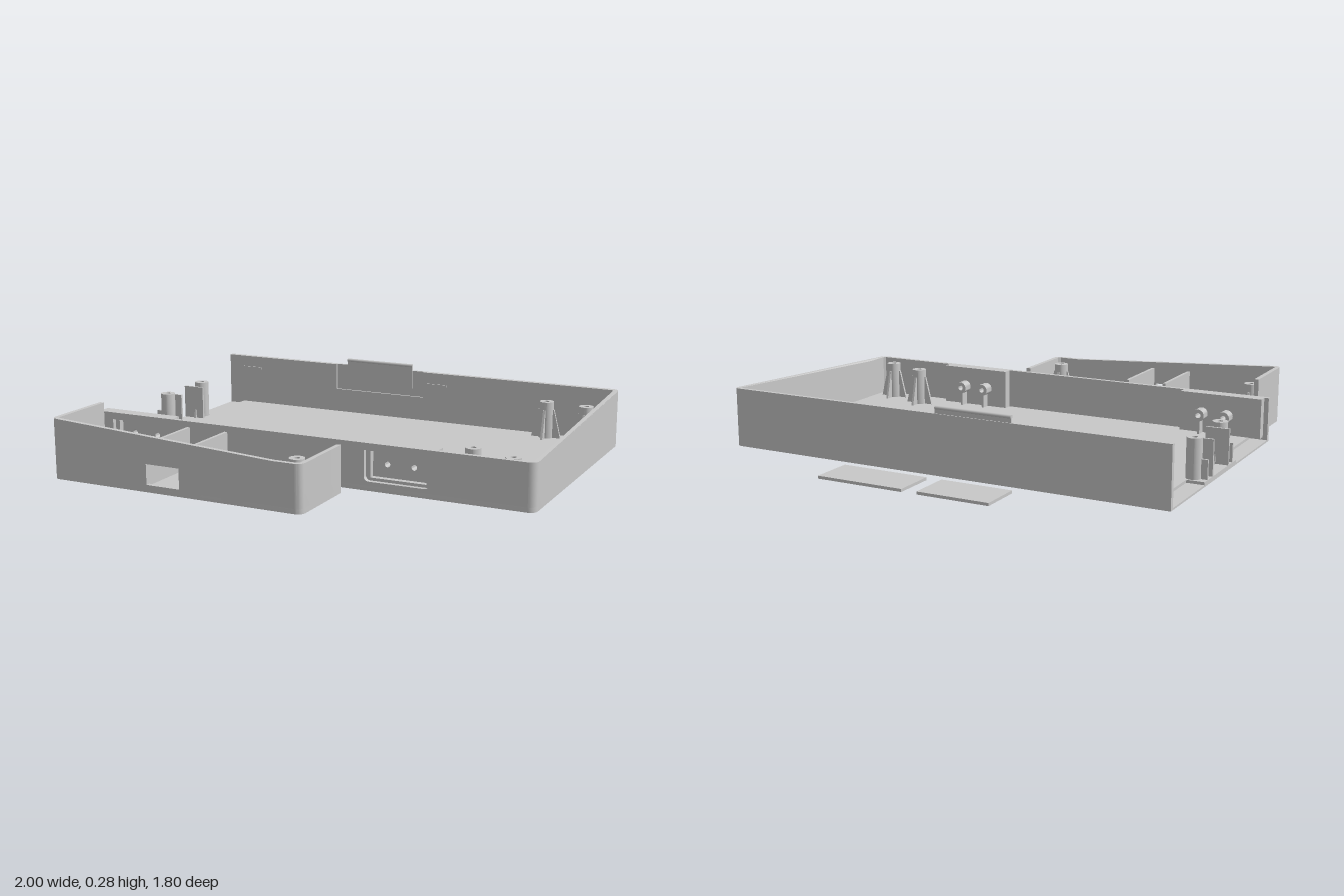
import * as THREE from 'three';
import { toCreasedNormals } from 'three/addons/utils/BufferGeometryUtils.js';

const plastic = new THREE.MeshStandardMaterial({ color: 0xc8c8c8 });
plastic.name = 'light grey plastic';

const T = 0.02;     // wall and floor thickness
const LOW = 0.195;  // lowest wall height
const RISE = 0.058; // extra height at the tall side

function add(group, geometry, name, x = 0, y = 0, z = 0) {
  const mesh = new THREE.Mesh(geometry, plastic);
  mesh.name = name;
  mesh.position.set(x, y, z);
  group.add(mesh);
  return mesh;
}

// Box given by its limits
function box(group, name, x0, x1, y0, y1, z0, z1) {
  return add(group, new THREE.BoxGeometry(x1 - x0, y1 - y0, z1 - z0), name,
    (x0 + x1) / 2, (y0 + y1) / 2, (z0 + z1) / 2);
}

// Arc points around (cx, cy), from angle a to b in quarter turns
function arc(cx, cy, r, a, b, n = 6) {
  return Array.from({ length: n + 1 }, (_, i) => {
    const t = (a + (b - a) * i / n) * Math.PI / 2;
    return [cx + r * Math.cos(t), cy + r * Math.sin(t)];
  });
}

// Upright prism over an x,z outline; its top follows height(x, z)
function prism(outline, height) {
  const shape = new THREE.Shape(outline.map(([x, z]) => new THREE.Vector2(x, -z)));
  const g = new THREE.ExtrudeGeometry(shape, { depth: 1, bevelEnabled: false });
  g.rotateX(-Math.PI / 2);
  const p = g.attributes.position;
  for (let i = 0; i < p.count; i++) {
    p.setY(i, p.getY(i) > 0.5 ? height(p.getX(i), p.getZ(i)) : 0);
  }
  return toCreasedNormals(g, 0.5);
}

const rect = (x0, x1, y0, y1) => [[x0, y0], [x1, y0], [x1, y1], [x0, y1]];
const pathHole = points => new THREE.Path(points.map(p => new THREE.Vector2(...p)));

function roundHole(x, y, r) {
  return new THREE.Path().absarc(x, y, r, 0, Math.PI * 2, true);
}

// Panel standing in the x,y plane, with holes
function panel(group, name, points, holes, z0, z1) {
  const shape = new THREE.Shape(points.map(p => new THREE.Vector2(...p)));
  shape.holes.push(...holes);
  const g = new THREE.ExtrudeGeometry(shape, { depth: z1 - z0, bevelEnabled: false, curveSegments: 12 });
  return add(group, toCreasedNormals(g, 0.6), name, 0, 0, z0);
}

// Hollow screw post with tapered ribs in the given directions (quarter turns)
function screwPost(parent, x, z, ribs = [0, 1, 2, 3]) {
  const post = new THREE.Group();
  post.name = 'screwPost';
  post.position.set(x, T, z);
  const h = 0.165, r = 0.032, hole = 0.012;
  const profile = [[r, 0], [r, h], [hole, h], [hole, 0.03]].map(p => new THREE.Vector2(...p));
  add(post, toCreasedNormals(new THREE.LatheGeometry(profile, 20), 0.6), 'postSleeve');
  add(post, new THREE.CylinderGeometry(hole, hole, 0.03, 12), 'postHoleFloor', 0, 0.015, 0);
  const rib = new THREE.Shape([[0.022, 0], [0.068, 0], [0.036, 0.13], [0.022, 0.13]].map(p => new THREE.Vector2(...p)));
  for (const q of ribs) {
    const g = new THREE.ExtrudeGeometry(rib, { depth: 0.01, bevelEnabled: false });
    g.translate(0, 0, -0.005);
    add(post, g, 'postRib').rotation.y = q * Math.PI / 2;
  }
  parent.add(post);
}

// Recessed mount behind the front wall, with two hollow pegs
function frontMount(parent, cx, x0, x1) {
  const mount = new THREE.Group();
  mount.name = 'frontMount';
  const pegs = [cx - 0.0575, cx + 0.0575];
  panel(mount, 'mountFrame', rect(x0, x1, T, LOW),
    [pathHole(rect(cx - 0.12, cx + 0.12, 0.05, 0.176))], 0.455, 0.48);
  panel(mount, 'mountPlate', rect(x0, x1, T, LOW), pegs.map(x => roundHole(x, 0.105, 0.012)), 0.44, 0.455);
  const sleeve = new THREE.Shape().absarc(0, 0, 0.027, 0, Math.PI * 2);
  sleeve.holes.push(roundHole(0, 0, 0.012));
  for (const x of pegs) {
    const g = new THREE.ExtrudeGeometry(sleeve, { depth: 0.05, bevelEnabled: false, curveSegments: 10 });
    add(mount, toCreasedNormals(g, 0.7), 'mountPeg', x, 0.105, 0.39);
    box(mount, 'pegSupport', x - 0.005, x + 0.005, T, 0.082, 0.40, 0.44);
  }
  parent.add(mount);
}

// Front wall opening with rounded lower corners
function mountOpening(cx) {
  const w = 0.14, r = 0.02, y0 = 0.038, y1 = 0.165;
  return pathHole([...arc(cx - w + r, y0 + r, r, 2, 3), ...arc(cx + w - r, y0 + r, r, 3, 4),
    [cx + w, y1], [cx - w, y1]]);
}

function createTray() {
  const tray = new THREE.Group();
  tray.name = 'tray';
  const height = (x, z) => LOW + RISE * THREE.MathUtils.clamp((0.36 - z) / 1.01, 0, 1);
  const backCorner = arc(0.97, -0.62, 0.03, -1, 0), frontCorner = arc(0.97, 0.47, 0.03, 0, 1);

  // Floor with thinner strips along the open end
  add(tray, prism([[-0.925, -0.65], ...backCorner, ...frontCorner, [-0.925, 0.5], [-0.925, 0.07],
    [-1, 0.07], [-1, -0.3], [-0.925, -0.3]], () => T), 'trayFloor');
  box(tray, 'floorLip', -1, -0.925, 0, 0.008, -0.65, -0.3);
  box(tray, 'floorLip', -1, -0.925, 0, 0.008, 0.07, 0.5);

  // Back and right walls in one run, with a notch inside the back
  add(tray, prism([
    [-1, -0.65], ...backCorner, [1, 0.36], ...frontCorner,
    [0.97, 0.48], [0.978, 0.47], [0.978, 0.36], [0.978, -0.62], [0.97, -0.63],
    [0.06, -0.63], [0.06, -0.64], [-0.4, -0.64], [-0.4, -0.63], [-1, -0.63]], height), 'trayWalls');
  box(tray, 'notchSill', -0.4, 0.06, T, 0.13, -0.641, -0.63);

  // Latch tab with a rounded bead, rising above the back wall
  box(tray, 'latchTab', -0.34, 0, 0.14, 0.276, -0.645, -0.635);
  const bead = new THREE.CylinderGeometry(0.008, 0.008, 0.34, 20);
  bead.rotateZ(Math.PI / 2);
  add(tray, bead, 'latchBead', -0.17, 0.276, -0.64);
  for (const x of [-0.87, 0.13]) box(tray, 'backCatch', x - 0.05, x + 0.05, 0.19, 0.2, -0.631, -0.625);

  // Front wall with two openings and their mounts
  const mounts = [[0.43, 0.27, 0.6], [-0.77, -0.98, -0.61]];
  panel(tray, 'frontWall', rect(-1, 0.97, 0, LOW), mounts.map(([cx]) => mountOpening(cx)), 0.48, 0.5);
  mounts.forEach(m => frontMount(tray, ...m));

  // Screw posts; those at the open end lean on a brace
  for (const [x, z] of [[0.69, -0.573], [0.88, -0.55], [0.69, 0.345], [0.88, 0.415]]) screwPost(tray, x, z);
  for (const [z, side] of [[-0.26, 1], [0.03, -1]]) {
    screwPost(tray, -0.94, z, [2 + side]);
    const pz = z + side * 0.053;
    box(tray, 'postBrace', -1, -0.9, T, 0.17, pz - 0.005, pz + 0.005);
    box(tray, 'postFoot', -0.998, -0.96, T, 0.1, z - 0.005, z + 0.005);
  }
  return tray;
}

function createPocket() {
  const pocket = new THREE.Group();
  pocket.name = 'sidePocket';
  const height = x => LOW + RISE * THREE.MathUtils.clamp((0.1 - x) / 1, 0, 1);
  const right = arc(0.195, 0.87, 0.03, 0, 1), left = arc(-0.893, 0.87, 0.03, 1, 2);

  // Floor with thinner areas at the open edge
  add(pocket, prism([[0.225, 0.57], ...right, ...left, [-0.923, 0.57], [-0.903, 0.57], [-0.903, 0.69], [-0.58, 0.69],
    [-0.58, 0.57], [-0.2, 0.57], [-0.2, 0.69], [0.205, 0.69], [0.205, 0.57]], () => T), 'pocketFloor');
  box(pocket, 'pocketFloorLip', -0.903, -0.58, 0, 0.008, 0.57, 0.69);
  box(pocket, 'pocketFloorLip', -0.2, 0.205, 0, 0.008, 0.57, 0.69);

  // End walls with rounded corners
  add(pocket, prism([[0.225, 0.57], ...right, [0.195, 0.88], [0.205, 0.87], [0.205, 0.57]], height), 'pocketLowEnd');
  add(pocket, prism([...left, [-0.923, 0.57], [-0.903, 0.57], [-0.903, 0.87], [-0.893, 0.88]], height), 'pocketHighEnd');

  // Sloping front wall with a window
  panel(pocket, 'pocketFront', [[-0.893, 0], [0.195, 0], [0.195, LOW], [0.1, LOW], [-0.893, height(-0.893)]],
    [pathHole(rect(-0.467, -0.315, 0.03, 0.115))], 0.88, 0.9);

  // Dividers and screw posts
  for (const x of [-0.48, -0.3]) box(pocket, 'divider', x - 0.007, x + 0.007, T, 0.19, 0.57, 0.88);
  for (const x of [-0.82, 0.145]) screwPost(pocket, x, 0.785);
  return pocket;
}

export function createModel() {
  const model = new THREE.Group();
  model.name = 'enclosureParts';
  model.add(createTray(), createPocket());
  // Loose cover plates behind the tray
  box(model, 'coverPlate', -0.385, -0.073, 0, 0.012, -0.903, -0.72);
  box(model, 'coverPlate', -0.005, 0.383, 0, 0.012, -0.903, -0.72);
  return model;
}
